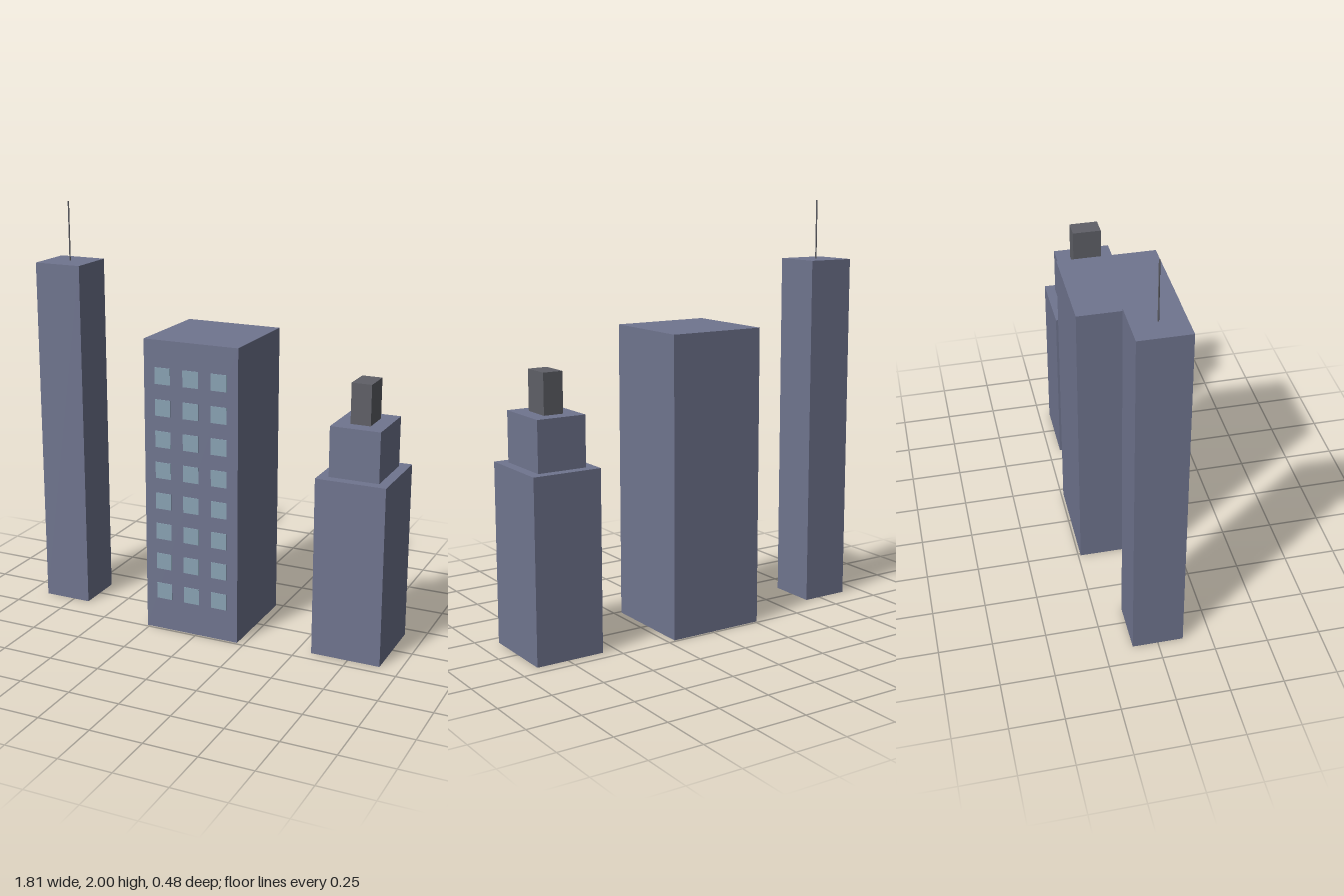
import * as THREE from 'three';

export function createModel() {
  const model = new THREE.Group();
  model.name = 'skyline';
  const U = 1 / 21; // one building module

  const paint = (name, color) => {
    const m = new THREE.MeshStandardMaterial({ color });
    m.name = name;
    return m;
  };
  const wall = paint('slate wall', 0x70758f);
  const glass = paint('pale glass', 0x89a2b3);
  const metal = paint('dark grey', 0x5f6067);

  // Adds a block standing on the given base height, sizes in modules
  const block = (parent, name, w, h, d, base, material) => {
    const mesh = new THREE.Mesh(new THREE.BoxGeometry(w * U, h * U, d * U), material);
    mesh.name = name;
    mesh.position.y = (base + h / 2) * U;
    parent.add(mesh);
    return mesh;
  };
  const building = (name, x) => {
    const g = new THREE.Group();
    g.name = name;
    g.position.x = x * U;
    model.add(g);
    return g;
  };

  // Slim tower with a rooftop antenna
  const slim = building('slimTower', -16.5);
  block(slim, 'slimTowerBody', 5, 36, 5, 0, wall);
  const antenna = new THREE.Mesh(new THREE.CylinderGeometry(0.0035, 0.0035, 6 * U, 8), metal);
  antenna.name = 'antenna';
  antenna.position.y = 39 * U;
  slim.add(antenna);

  // Wide block with a window grid on its front
  const office = building('officeBlock', -0.5);
  block(office, 'officeBody', 10, 30, 10, 0, wall);
  const pane = new THREE.BoxGeometry(0.079, 0.079, 0.006);
  for (let row = 0; row < 8; row++) {
    for (let col = -1; col <= 1; col++) {
      const w = new THREE.Mesh(pane, glass);
      w.name = 'window';
      w.position.set(col * 3 * U, 0.196 + row * 0.152, 5 * U);
      office.add(w);
    }
  }

  // Stepped tower: two setbacks and a dark roof unit
  const stepped = building('steppedTower', 15.5);
  block(stepped, 'lowerTier', 7, 18, 8, 0, wall);
  block(stepped, 'upperTier', 5, 5, 6, 18, wall);
  block(stepped, 'roofUnit', 2, 4, 3, 23, metal);

  return model;
}
